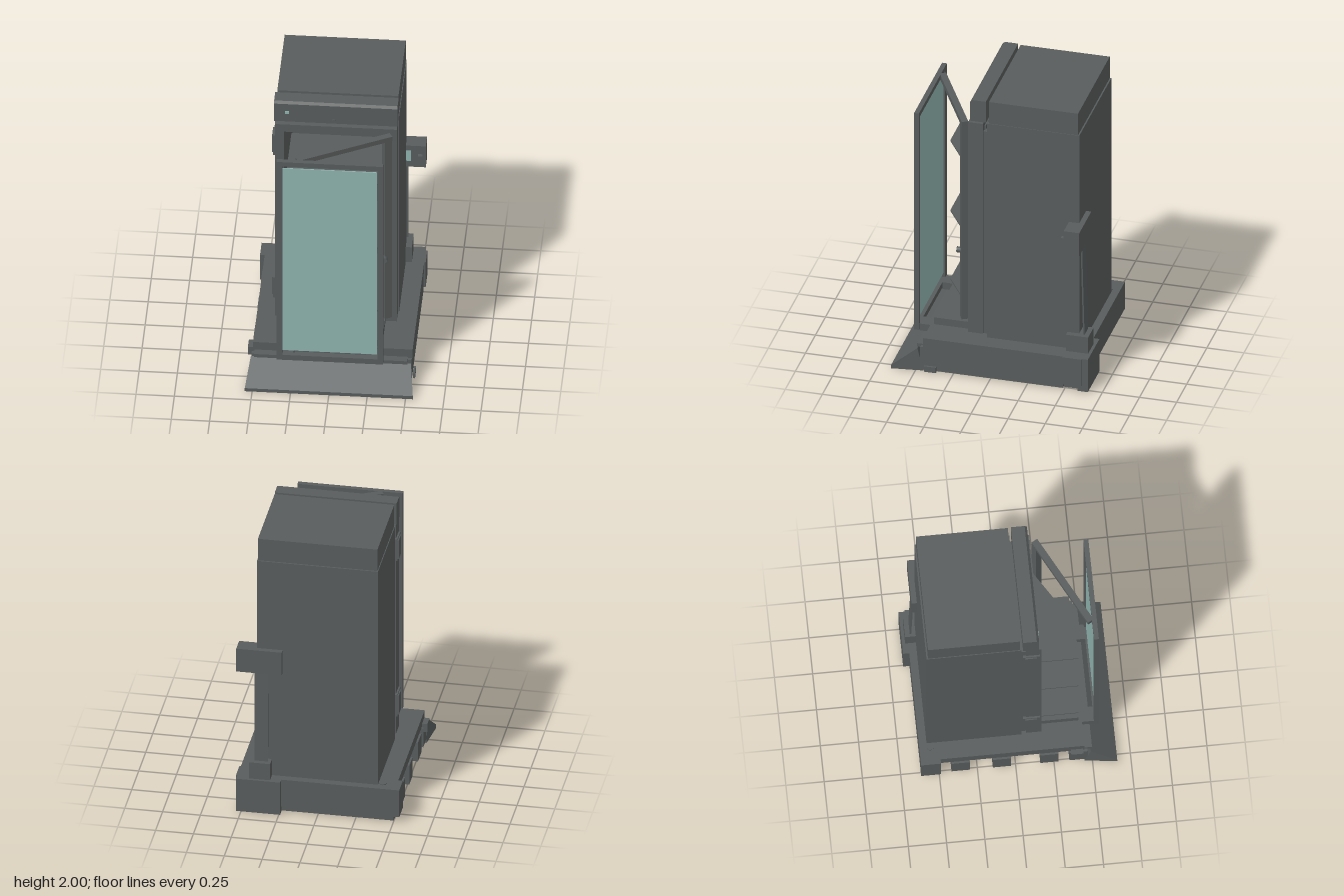
import * as THREE from 'three';

export function createModel() {
  const model = new THREE.Group();
  model.name = 'coolerOnScale';
  const grey = new THREE.MeshStandardMaterial({ color: 0x585c5c, side: THREE.DoubleSide });
  grey.name = 'darkGrey';
  const teal = new THREE.MeshStandardMaterial({ color: 0x8fb3ae, side: THREE.DoubleSide });
  teal.name = 'tealGlass';

  function add(name, geometry, material = grey) {
    const mesh = new THREE.Mesh(geometry, material);
    mesh.name = name;
    model.add(mesh);
    return mesh;
  }
  // box from its limits on each axis
  function box(name, x0, x1, y0, y1, z0, z1, material) {
    const mesh = add(name, new THREE.BoxGeometry(x1 - x0, y1 - y0, z1 - z0), material);
    mesh.position.set((x0 + x1) / 2, (y0 + y1) / 2, (z0 + z1) / 2);
    return mesh;
  }
  // upright rectangular ring with a rectangular opening
  function ring(name, [x0, x1, y0, y1], [a0, a1, b0, b1], z0, z1) {
    const rect = (Type, l, r, b, t) => new Type([[l, b], [r, b], [r, t], [l, t]].map(p => new THREE.Vector2(...p)));
    const shape = rect(THREE.Shape, x0, x1, y0, y1);
    shape.holes.push(rect(THREE.Path, a0, a1, b0, b1));
    const mesh = add(name, new THREE.ExtrudeGeometry(shape, { depth: z1 - z0, bevelEnabled: false }));
    mesh.position.z = z0;
    return mesh;
  }

  // cabinet: hollow shell, back, cap and front frame
  const opening = [-0.33, 0.34, 0.3, 1.76];
  ring('cabinetShell', [-0.39, 0.41, 0.25, 1.84], opening, -0.5, 0.05);
  box('cabinetBack', -0.39, 0.41, 0.25, 1.84, -0.57, -0.5);
  box('cabinetCap', -0.385, 0.405, 1.84, 2, -0.56, 0.04);
  ring('gasket', [-0.375, 0.395, 0.27, 1.77], opening, 0.05, 0.08);
  ring('frontFrame', [-0.39, 0.405, 0.27, 1.83], [-0.335, 0.345, 0.3, 1.775], 0.08, 0.18);
  ring('frontFrameStep', [-0.355, 0.365, 0.28, 1.8], opening, 0.07, 0.165);

  // header panel with rounded upper front edge
  const header = new THREE.Shape();
  header.moveTo(0.06, 1.845);
  header.lineTo(0.165, 1.845);
  header.lineTo(0.165, 1.985);
  header.lineTo(0.15, 2);
  header.lineTo(0.06, 2);
  const headerMesh = add('headerPanel', new THREE.ExtrudeGeometry(header, { depth: 0.805, bevelEnabled: false }));
  headerMesh.rotation.y = -Math.PI / 2;
  headerMesh.position.x = 0.408;
  // the profile's first axis runs along z once turned
  box('headerLight', -0.325, -0.3, 1.91, 1.93, 0.165, 0.17, teal);
  const lock = add('headerLock', new THREE.CylinderGeometry(0.012, 0.012, 0.008, 16));
  lock.rotation.x = Math.PI / 2;
  lock.position.set(-0.005, 1.868, 0.168);

  // hinges on the right side
  for (const y of [0.49, 1.65]) {
    box('hinge', -0.41, -0.385, y - 0.07, y + 0.07, 0.07, 0.15);
    box('hingeLeaf', -0.402, -0.385, y - 0.08, y + 0.08, 0.06, 0.17);
  }

  // interior
  box('innerPanel', -0.2, 0.3, 0.72, 1.45, -0.5, -0.32);
  box('innerFloor', -0.33, 0.34, 0.27, 0.3, -0.5, 0.18);
  for (const x of [-0.1, 0, 0.1]) box('innerPipe', x - 0.015, x + 0.015, 0.3, 0.72, -0.44, -0.41);
  box('floorTray', -0.33, 0.33, 0.25, 0.3, 0.17, 0.43);

  // shelves cut along the slanted frame
  const shelf = new THREE.Shape([[-0.32, -0.3], [0.3, -0.3], [0.3, 0.19], [-0.08, 0.43], [-0.32, 0.43]]
    .map(p => new THREE.Vector2(...p)));
  for (const y of [0.37, 0.88, 1.4]) {
    const mesh = add('shelf', new THREE.ExtrudeGeometry(shelf, { depth: 0.01, bevelEnabled: false }));
    mesh.rotation.x = Math.PI / 2;
    mesh.position.y = y;
  }

  // glazed front door panel
  ring('doorFrame', [-0.35, 0.345, 0.2, 1.81], [-0.31, 0.31, 0.24, 1.775], 0.528, 0.56);
  box('doorGlass', -0.31, 0.305, 0.27, 1.75, 0.54, 0.547, teal);

  // slanted frame: upper rail, post and handle
  const a = new THREE.Vector2(-0.22, 0.52), b = new THREE.Vector2(0.37, 0.21);
  const rail = box('slantedRail', -a.distanceTo(b) / 2, a.distanceTo(b) / 2, 1.775, 1.81, -0.022, 0.022);
  rail.position.x = (a.x + b.x) / 2;
  rail.position.z = (a.y + b.y) / 2;
  rail.rotation.y = Math.atan2(a.y - b.y, b.x - a.x);
  const post = box('slantedPost', 0.32, 0.37, 0.34, 1.8, 0.2, 0.245);
  post.rotation.y = rail.rotation.y;
  const knob = add('handle', new THREE.CylinderGeometry(0.02, 0.02, 0.04, 16));
  knob.rotation.x = Math.PI / 2;
  knob.position.set(0.33, 0.83, 0.255);

  // platform
  box('platformTop', -0.51, 0.53, 0.18, 0.25, -0.49, 0.45);
  box('platformBody', -0.43, 0.525, 0.015, 0.18, -0.49, 0.47);
  box('platformLip', -0.5, 0.5, 0.165, 0.19, 0.45, 0.5);
  box('underPlate', -0.15, 0.15, 0.008, 0.015, -0.15, 0.15);
  for (const z of [-0.36, -0.09, 0.22, 0.41]) box('sideFoot', -0.52, -0.43, 0.03, 0.17, z - 0.06, z + 0.06);
  box('sideStep', -0.545, -0.51, 0.14, 0.2, 0.36, 0.44);
  box('sideStep', 0.53, 0.545, 0.01, 0.05, 0.36, 0.44);
  for (const x of [-0.29, 0.28]) box('doorBracket', x - 0.05, x + 0.05, 0.19, 0.24, 0.43, 0.53);

  // entry ramp, narrowing towards its top
  const ramp = new THREE.BoxGeometry(1, 1, 1);
  const p = ramp.attributes.position;
  for (let i = 0; i < p.count; i++) {
    const top = p.getY(i) > 0, front = p.getZ(i) > 0;
    const y = top ? (front ? 0.03 : 0.165) : 0.005;
    const z = front ? 0.66 : (top ? 0.49 : 0.45);
    p.setXYZ(i, Math.sign(p.getX(i)) * (front ? 0.548 : 0.522), y, z);
  }
  const rampGeometry = ramp.toNonIndexed();
  rampGeometry.computeVertexNormals();
  add('entryRamp', rampGeometry);

  // rear beam and stand foot
  box('rearBeam', -0.54, 0.54, 0.05, 0.25, -0.62, -0.49);
  box('rearBeamFoot', -0.5, 0.5, 0.01, 0.05, -0.6, -0.49);
  const cap = add('levelCap', new THREE.CylinderGeometry(0.022, 0.022, 0.008, 16));
  cap.position.set(-0.42, 0.252, -0.55);
  box('standBlock', 0.24, 0.53, 0.01, 0.25, -0.66, -0.59);
  box('standSocket', 0.31, 0.45, 0.25, 0.37, -0.64, -0.49);

  // readout on a thin leaning stand
  const stand = box('stand', 0.33, 0.42, 0.36, 1.04, -0.6, -0.59);
  stand.rotation.x = 0.025;
  box('readout', 0.24, 0.54, 1.02, 1.19, -0.605, -0.5);
  box('readoutScreen', 0.41, 0.445, 1.07, 1.15, -0.5, -0.495, teal);
  box('readoutButton', 0.49, 0.52, 1.095, 1.125, -0.5, -0.475);

  // turn the header so its profile faces forwards
  headerMesh.scale.x = 1;
  headerMesh.rotation.y = -Math.PI / 2;
  headerMesh.position.set(0.408, 0, 0);
  return model;
}
